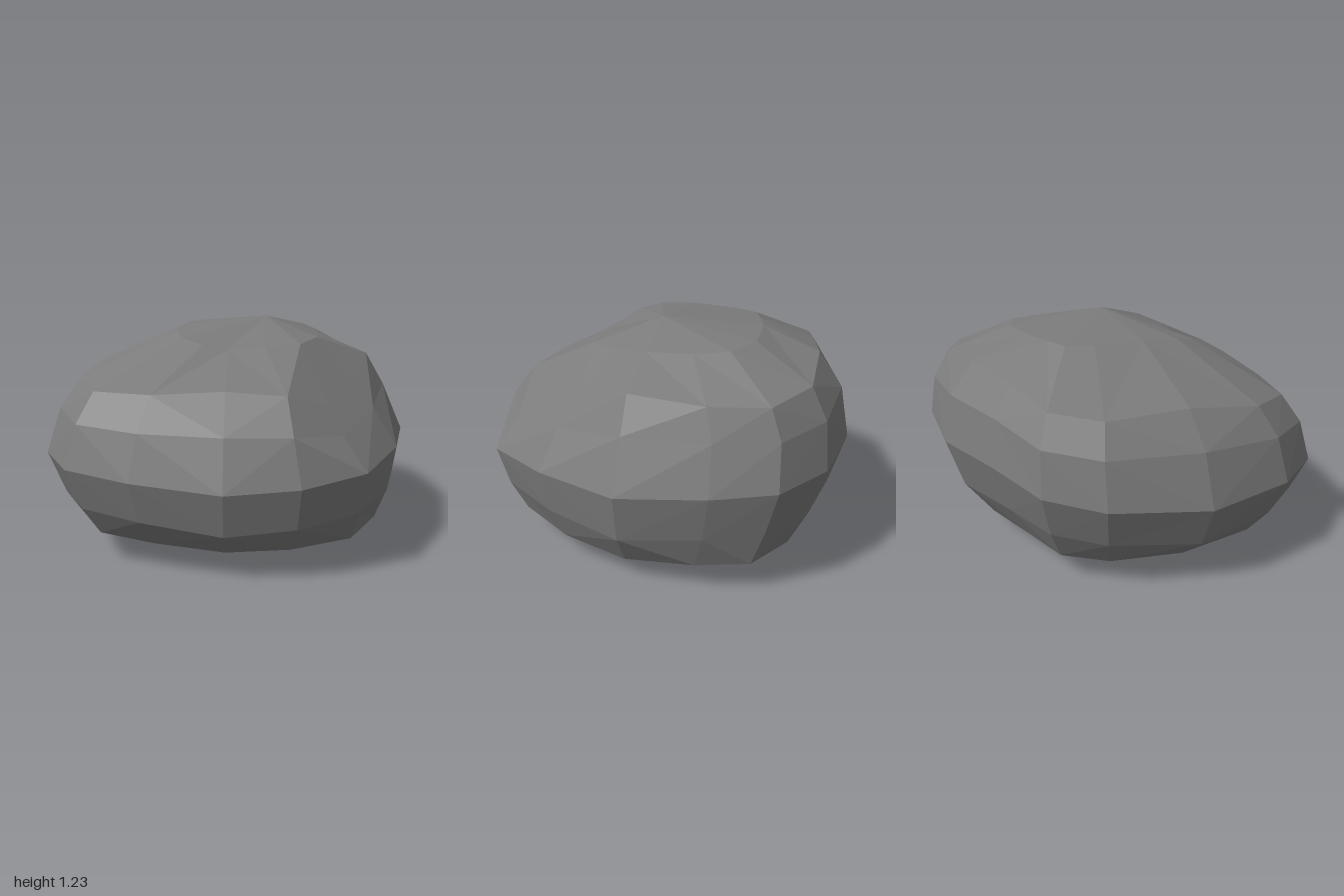
import * as THREE from 'three';

// Widest plan outline [x, z], anticlockwise seen from above
const OUTLINE = [
  [-1, 0], [-0.95, 0.49], [-0.78, 0.78], [-0.45, 0.9], [0, 0.99], [0.36, 0.96],
  [0.68, 0.8], [0.89, 0.4], [1, -0.06], [0.9, -0.5], [0.78, -0.8], [0.51, -0.97],
  [0.09, -1], [-0.3, -0.86], [-0.64, -0.74], [-0.84, -0.49],
];

// Layers from bottom to top: [reach, height] on each side, corner fullness and corner lift
const LAYERS = [
  { left: [0.41, 0.05], right: [0.56, 0.05], front: [0.45, 0.04], back: [0.49, 0.05], full: 0.2, lift: 0.03 },
  { left: [0.75, 0.13], right: [0.85, 0.13], front: [0.77, 0.1], back: [0.76, 0.14], full: 0.16, lift: 0.07 },
  { left: [0.91, 0.29], right: [0.96, 0.31], front: [0.94, 0.24], back: [0.92, 0.36], full: 0, lift: 0.07 },
  { left: [1, 0.54], right: [1, 0.57], front: [1, 0.46], back: [1, 0.65], full: 0, lift: 0.03 },
  { left: [0.9, 0.81], right: [0.88, 0.84], front: [0.91, 0.71], back: [0.94, 0.92], full: 0.06, lift: -0.04 },
  { left: [0.75, 0.98], right: [0.77, 1.02], front: [0.74, 0.9], back: [0.8, 1.1], full: 0.2, lift: -0.09 },
  { left: [0.28, 1.18], right: [0.5, 1.13], front: [0.38, 1.07], back: [0.5, 1.19], full: 0.2, lift: 0 },
];

// Sloping cut across the upper front left shoulder
const CUT_NORMAL = new THREE.Vector3(0.574, 0.682, 0.452).normalize();
const CUT_DISTANCE = 1.119;

const CENTRE = new THREE.Vector3(0, 0.6, 0);

function layerPoint(layer, [x, z]) {
  const sideX = x < 0 ? layer.left : layer.right;
  const sideZ = z < 0 ? layer.back : layer.front;
  const corner = Math.abs(x * z);
  const swell = 1 + layer.full * corner;
  const y = (x * x * sideX[1] + z * z * sideZ[1]) / (x * x + z * z) + layer.lift * corner;
  const p = new THREE.Vector3(x * sideX[0] * swell, y, z * sideZ[0] * swell);
  const excess = Math.max(0, p.dot(CUT_NORMAL) - CUT_DISTANCE);
  return p.addScaledVector(CUT_NORMAL, -excess);
}

function boulderGeometry() {
  const n = OUTLINE.length;
  const points = LAYERS.flatMap((layer) => OUTLINE.map((o) => layerPoint(layer, o)));
  const bottom = points.push(new THREE.Vector3(0.08, 0, -0.02)) - 1;
  const top = points.push(new THREE.Vector3(0.2, 1.23, 0)) - 1;
  const index = [];

  // How far out the middle of an edge lies
  const bulge = (i, j) => points[i].clone().lerp(points[j], 0.5).distanceTo(CENTRE);

  for (let j = 0; j < n; j++) {
    const k = (j + 1) % n;
    // Sides, each quad split along its outer diagonal
    for (let i = 0; i < LAYERS.length - 1; i++) {
      const a = i * n + j, b = i * n + k, c = b + n, d = a + n;
      if (bulge(a, c) > bulge(b, d)) index.push(a, b, c, a, c, d);
      else index.push(a, b, d, b, c, d);
    }
    // Underside and crown
    const last = (LAYERS.length - 1) * n;
    index.push(bottom, k, j, top, last + j, last + k);
  }

  const geometry = new THREE.BufferGeometry().setFromPoints(points);
  geometry.setIndex(index);
  geometry.computeVertexNormals();
  return geometry;
}

export function createModel() {
  const group = new THREE.Group();
  group.name = 'rock';
  const boulder = new THREE.Mesh(
    boulderGeometry(),
    new THREE.MeshStandardMaterial({ color: 0x7b7b7b, flatShading: true }),
  );
  boulder.name = 'boulder';
  group.add(boulder);
  return group;
}
